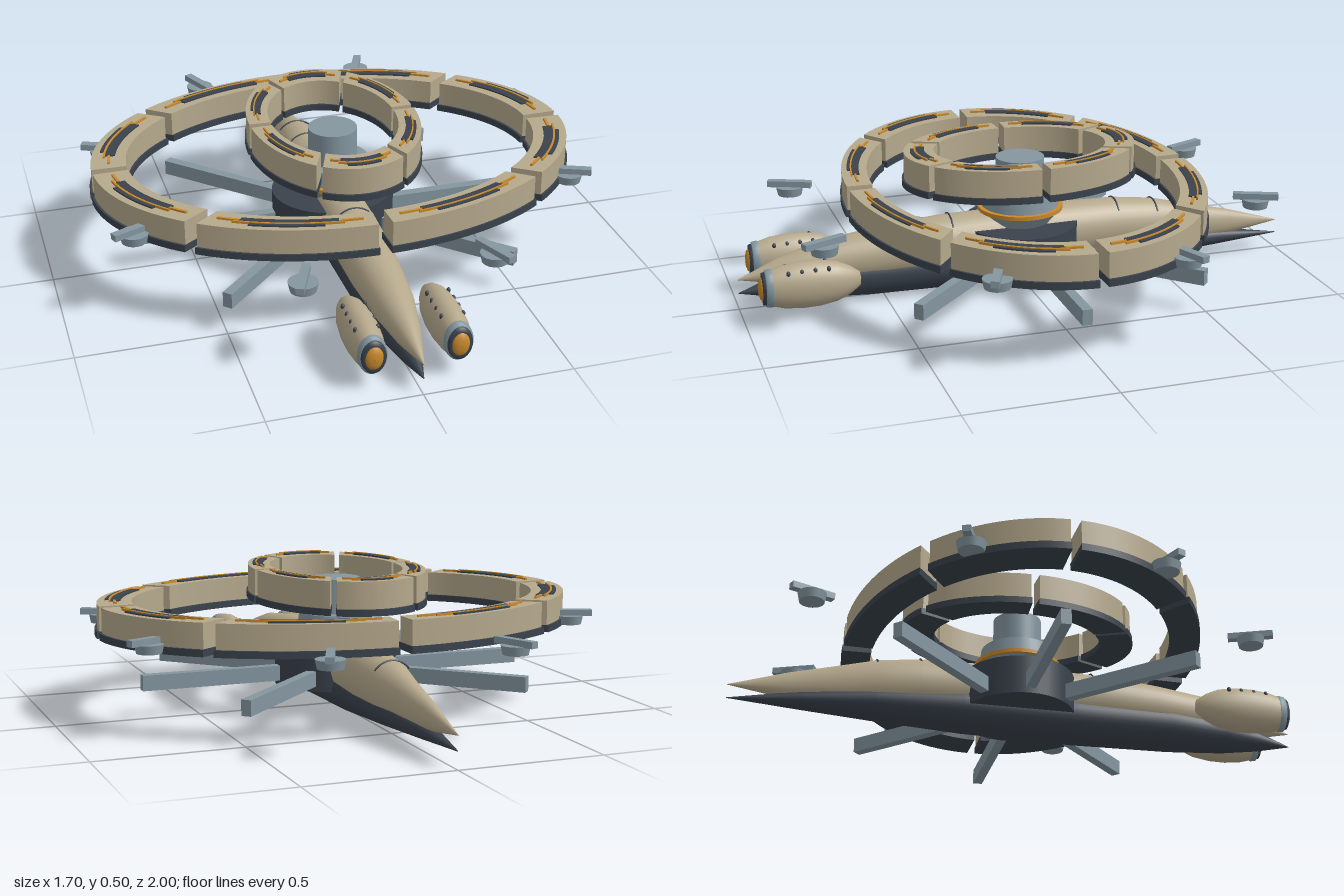
import * as THREE from 'three';
import { toCreasedNormals } from 'three/addons/utils/BufferGeometryUtils.js';

const mat = (name, color) => {
  const m = new THREE.MeshStandardMaterial({ color });
  m.name = name;
  return m;
};

export function createModel() {
  const tan = mat('sand hull', 0xb5a88c);
  const dark = mat('dark armour', 0x3a424c);
  const steel = mat('blue grey steel', 0x8496a0);
  const amber = mat('amber trim', 0xc98a2e);

  const model = new THREE.Group();
  model.name = 'ringShip';
  const add = (name, geo, material, parent = model) => {
    const m = new THREE.Mesh(geo, material);
    m.name = name;
    parent.add(m);
    return m;
  };

  // Elliptical sections [z, half width, centre y, half height] joined along z
  const loft = (stations, sides = 32) => {
    const pos = [], idx = [];
    stations.forEach(([z, rx, cy, ry], i) => {
      for (let j = 0; j < sides; j++) {
        const a = (j / sides) * Math.PI * 2;
        pos.push(rx * Math.cos(a), cy + ry * Math.sin(a), z);
        if (i === stations.length - 1) continue;
        const k = (j + 1) % sides, p = i * sides, q = p + sides;
        idx.push(p + j, p + k, q + j, p + k, q + k, q + j);
      }
    });
    const g = new THREE.BufferGeometry();
    g.setAttribute('position', new THREE.Float32BufferAttribute(pos, 3));
    g.setIndex(idx);
    g.computeVertexNormals();
    return g;
  };

  // Spindle hull: sand upper body over a dark keel
  add('upperHull', loft([
    [-1, 0.001, 0.107, 0.001], [-0.8, 0.03, 0.122, 0.047], [-0.6, 0.056, 0.14, 0.078],
    [-0.5, 0.075, 0.15, 0.092], [-0.35, 0.087, 0.16, 0.1], [0, 0.09, 0.165, 0.102],
    [0.3, 0.09, 0.162, 0.098], [0.5, 0.085, 0.152, 0.09], [0.7, 0.069, 0.14, 0.075],
    [0.85, 0.041, 0.125, 0.048], [1, 0.001, 0.107, 0.001],
  ]), tan);
  add('keel', loft([
    [-1, 0.001, 0.058, 0.001], [-0.75, 0.036, 0.071, 0.031], [-0.5, 0.068, 0.08, 0.055],
    [-0.2, 0.085, 0.085, 0.077], [0.2, 0.086, 0.085, 0.085], [0.55, 0.08, 0.085, 0.08],
    [0.75, 0.06, 0.078, 0.062], [0.88, 0.034, 0.068, 0.035], [1, 0.001, 0.058, 0.001],
  ]), dark);

  // Narrow seams over the hull's back
  [[0.4, 0.245], [0.26, 0.264], [-0.35, 0.261], [-0.5, 0.243]].forEach(([z, top]) => {
    const seam = add('hullSeam', new THREE.TorusGeometry(0.075, 0.003, 6, 24, Math.PI * 0.6), dark);
    seam.rotation.z = Math.PI * 0.2;
    seam.position.set(0, top - 0.075, z);
  });

  // Central drum, collar and hub
  const drum = (name, rTop, rBottom, y0, y1, material) => {
    const m = add(name, new THREE.CylinderGeometry(rTop, rBottom, y1 - y0, 40), material);
    m.position.y = (y0 + y1) / 2;
    return m;
  };
  drum('centralDrum', 0.215, 0.215, 0.08, 0.217, dark).scale.z = 0.93;
  drum('collar', 0.142, 0.1, 0.21, 0.265, steel);
  drum('collarTrim', 0.15, 0.15, 0.262, 0.276, amber);
  drum('hubBase', 0.127, 0.135, 0.27, 0.33, steel);
  drum('hubColumn', 0.085, 0.085, 0.32, 0.45, steel);

  // Spokes to both sides and along the diagonals
  [0, 45, 135, 180, 225, 315].forEach((deg) => {
    const geo = new THREE.BoxGeometry(0.58, 0.053, 0.034);
    geo.translate(0.413, 0.125, 0);
    add('spoke', geo, steel).rotation.y = THREE.MathUtils.degToRad(deg);
  });

  // Slab between two ellipses and two angles
  const arcSlab = (o, i, a0, a1, y, h) => {
    const s = new THREE.Shape();
    s.absellipse(0, 0, o[0], o[1], a0, a1, false);
    s.absellipse(0, 0, i[0], i[1], a1, a0, true);
    s.closePath();
    const g = new THREE.ExtrudeGeometry(s, { depth: h, bevelEnabled: false, curveSegments: 18 });
    g.rotateX(-Math.PI / 2);
    g.translate(0, y, 0);
    return toCreasedNormals(g, 0.5);
  };

  // Segmented elliptical ring with a dark underside and inlaid top strips
  const ring = (name, count, outer, inner, y0, yMid, y1, gap) => {
    const group = new THREE.Group();
    group.name = name;
    model.add(group);
    const at = (t) => [0, 1].map((k) => THREE.MathUtils.lerp(inner[k], outer[k], t));
    const step = (Math.PI * 2) / count;
    for (let n = 0; n < count; n++) {
      const mid = (n + 0.5) * step, half = step / 2;
      const slab = (part, t1, t0, from, to, y, h, material) =>
        add(part, arcSlab(at(t1), at(t0), mid + from * half, mid + to * half, y, h), material, group);
      const end = 1 - gap / half;
      slab('ringSegment', 1, 0, -end, end, yMid, y1 - yMid, tan);
      slab('ringUnderside', 1.07, -0.07, -end - 0.01, end + 0.01, y0, yMid - y0, dark);
      slab('topPanel', 0.64, 0.32, -0.54, 0.54, y1, 0.005, dark);
      slab('topPanelStep', 0.78, 0.66, -0.4, 0.4, y1, 0.005, dark);
      slab('topTrim', 0.66, 0.6, -0.6, 0.6, y1, 0.008, amber);
      [-1, 1].forEach((s) => {
        const [a, b] = [s * 0.55, s * 0.8].sort((p, q) => p - q);
        slab('endTrim', 0.53, 0.45, a, b, y1, 0.007, amber);
      });
    }
  };
  ring('outerRing', 8, [0.84, 0.61], [0.72, 0.522], 0.283, 0.307, 0.392, 0.028);
  ring('innerRing', 6, [0.292, 0.41], [0.218, 0.305], 0.375, 0.398, 0.49, 0.035);

  // Satellite thrusters: a round foot with a radial bar on top
  for (let n = 0; n < 8; n++) {
    const sat = new THREE.Group();
    sat.name = 'satelliteThruster';
    sat.rotation.y = (n + 0.5) * Math.PI / 4;
    const foot = new THREE.CylinderGeometry(0.048, 0.042, 0.03, 24);
    foot.translate(0.82, 0.302, 0);
    add('thrusterFoot', foot, steel, sat);
    const bar = new THREE.BoxGeometry(0.155, 0.022, 0.028);
    bar.translate(0.82, 0.326, 0);
    add('thrusterBar', bar, steel, sat);
    model.add(sat);
  }

  // Lathe turned so its axis runs along z
  const turned = (pts) => new THREE.LatheGeometry(
    pts.map(([r, z]) => new THREE.Vector2(r, z)), 28).rotateX(Math.PI / 2);

  // Twin forward pods with studs and glowing noses
  [-1, 1].forEach((side) => {
    const pod = new THREE.Group();
    pod.name = side > 0 ? 'leftPod' : 'rightPod';
    pod.position.set(side * 0.14, 0.12, 0);
    pod.scale.y = 1.4;
    model.add(pod);
    add('podBody', turned([[0.001, 0.605], [0.018, 0.61], [0.036, 0.645], [0.05, 0.69],
      [0.057, 0.75], [0.058, 0.81], [0.053, 0.87], [0.045, 0.91]]), tan, pod);
    add('podCollar', turned([[0.046, 0.905], [0.048, 0.91], [0.046, 0.927], [0.04, 0.93]]), steel, pod);
    add('podMuzzle', turned([[0.042, 0.925], [0.04, 0.938], [0.03, 0.94], [0.001, 0.94]]), dark, pod);
    add('podNose', turned([[0.03, 0.938], [0.026, 0.946], [0.014, 0.951], [0.001, 0.952]]), amber, pod);
    for (let i = 0; i < 4; i++) {
      [-1, 1].forEach((s) => {
        const stud = add('podStud', new THREE.SphereGeometry(0.007, 10, 8), dark, pod);
        stud.position.set(s * 0.036, 0.043 - 0.001 * i, 0.72 + i * 0.045);
      });
    }
  });

  return model;
}
